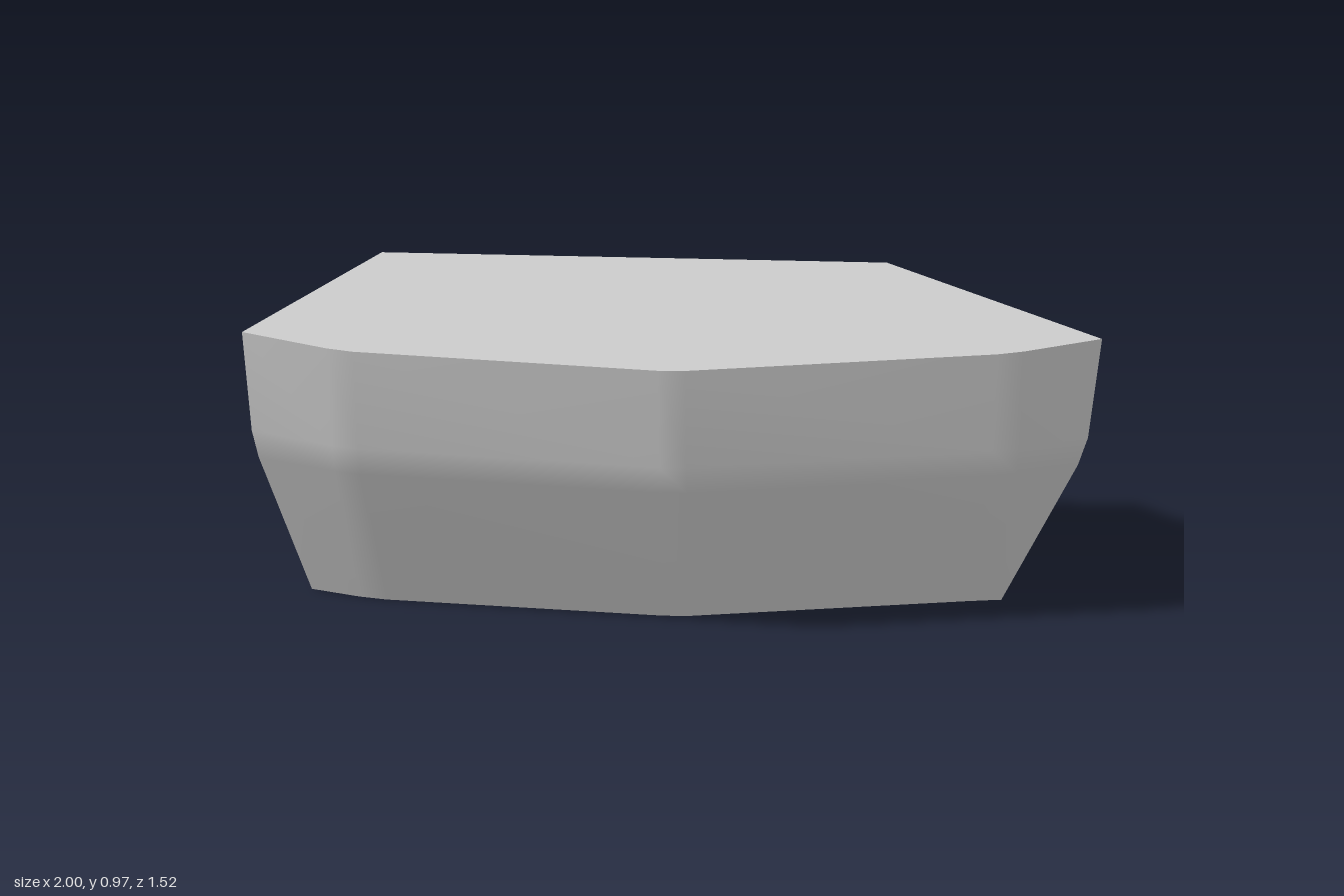
import * as THREE from 'three';

const HEIGHT = 0.97;
// Front outline [x, z] along the rim and along the base, left to right
const RIM = [[-1, 0.76], [-0.7, 0.68], [0.145, 0.185], [0.85, -0.52], [1, -0.76]];
const BASE = [[-1, 0.43], [-0.82, 0.37], [-0.05, -0.09], [0.58, -0.72], [0.625, -0.76]];
// [height, blend from rim to base]: near-upright band, soft bend, steep undercut
const LEVELS = [[HEIGHT, 0], [0.63, 0.14], [0.53, 0.24], [0, 1]];

// One horizontal section of the front, each inner corner cut by a small bevel
function section([y, t]) {
  const pts = RIM.map(([x, z], i) => new THREE.Vector3(
    THREE.MathUtils.lerp(x, BASE[i][0], t), y, THREE.MathUtils.lerp(z, BASE[i][1], t)));
  const row = [pts[0]];
  for (let i = 1; i < pts.length - 1; i++) {
    for (const next of [pts[i - 1], pts[i + 1]]) {
      const length = pts[i].distanceTo(next);
      row.push(pts[i].clone().lerp(next, Math.min(0.04, length * 0.4) / length));
    }
  }
  row.push(pts[pts.length - 1]);
  return row;
}

export function createModel() {
  const group = new THREE.Group();
  const smooth = new THREE.MeshStandardMaterial({ color: 0xcccccc });
  const flat = new THREE.MeshStandardMaterial({ color: 0xcccccc, flatShading: true });

  function add(name, points, index, material) {
    const geometry = new THREE.BufferGeometry().setFromPoints(points);
    geometry.setIndex(index);
    geometry.computeVertexNormals();
    const mesh = new THREE.Mesh(geometry, material);
    mesh.name = name;
    group.add(mesh);
  }

  // Convex face, corners counter-clockwise from outside
  function addFace(name, points) {
    const index = [];
    for (let i = 1; i < points.length - 1; i++) index.push(0, i, i + 1);
    add(name, points, index, flat);
  }

  // Bevelled front shell
  const rows = LEVELS.map(section);
  const n = rows[0].length;
  const index = [];
  for (let r = 0; r < rows.length - 1; r++) {
    for (let c = 0; c < n - 1; c++) {
      const a = r * n + c, b = a + n;
      index.push(a, b, b + 1, a, b + 1, a + 1);
    }
  }
  add('frontShell', rows.flat(), index, smooth);

  // Corners of the sloping rear cut
  const topLeft = new THREE.Vector3(-1, HEIGHT, 0.1);
  const topBack = new THREE.Vector3(0.2, HEIGHT, -0.76);
  const baseLeft = new THREE.Vector3(-1, 0, -0.42);
  const baseBack = new THREE.Vector3(-0.45, 0, -0.76);

  // Flat faces closing the block
  const last = rows.length - 1;
  addFace('topFace', [...rows[0], topBack, topLeft]);
  addFace('bottomFace', [...rows[last], baseBack, baseLeft].reverse());
  addFace('sideFace', [...rows.map((row) => row[0]).reverse(), topLeft, baseLeft]);
  addFace('backFace', [...rows.map((row) => row[n - 1]), baseBack, topBack]);
  addFace('slopedRearFace', [baseLeft, topLeft, topBack, baseBack]);

  return group;
}
